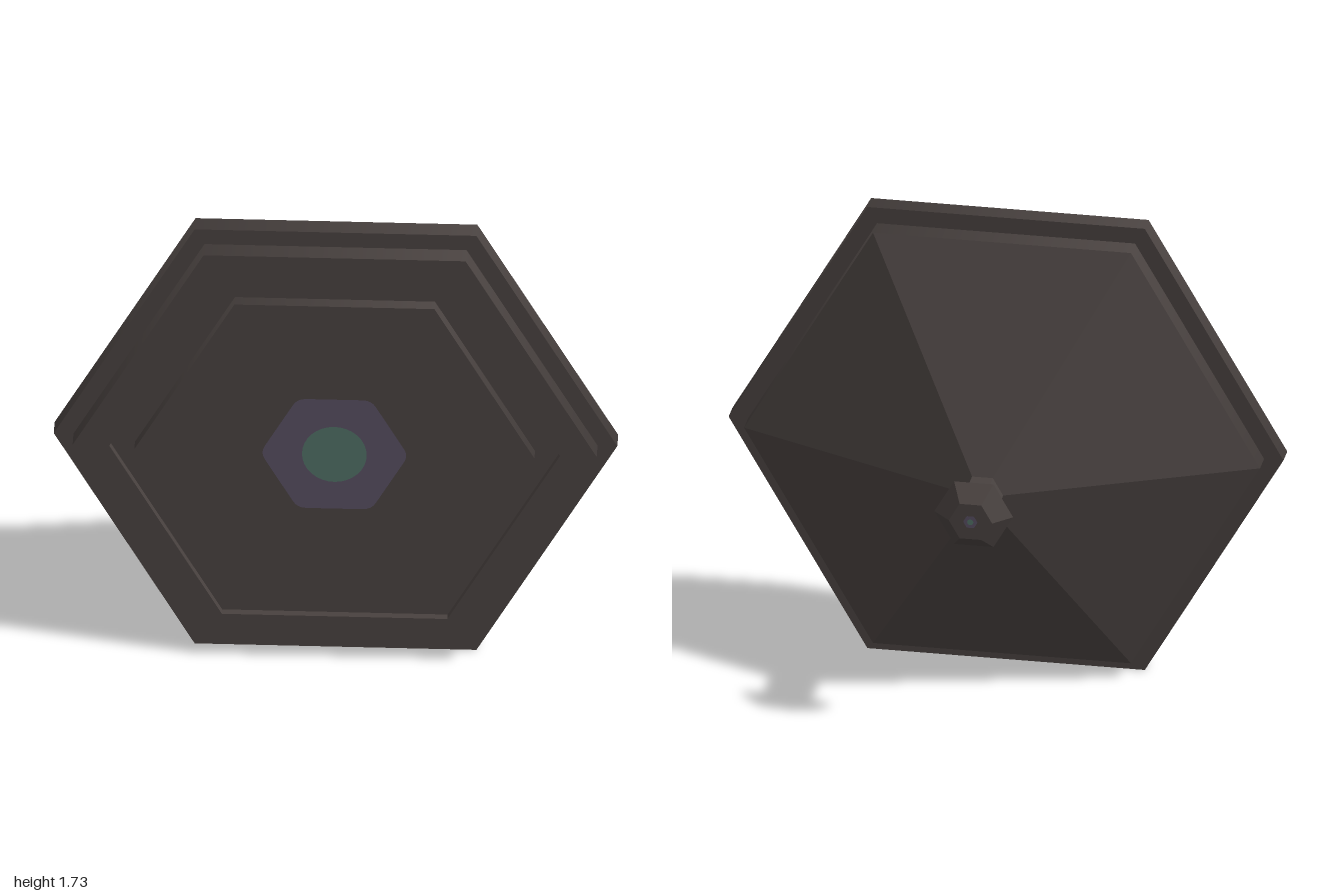
import * as THREE from 'three';
import { mergeGeometries } from 'three/addons/utils/BufferGeometryUtils.js';

const CENTRE_Y = 0.866;

const material = (name, color) => {
  const m = new THREE.MeshStandardMaterial({ color });
  m.name = name;
  return m;
};

// Hexagonal band between two [radius, z] points; h = 0 gives a flat ring, h < 0 an inward wall
function band([r0, z0], [r1, z1], smooth) {
  let g = new THREE.CylinderGeometry(r1, r0, z1 - z0, 6, 1, true, Math.PI / 2);
  g.rotateX(Math.PI / 2).translate(0, 0, (z0 + z1) / 2);
  g = g.toNonIndexed();
  if (!smooth) g.computeVertexNormals();
  return g;
}

// Hexagonal solid from a profile that runs from the back to the front
function hexSolid(name, profile, mat, smoothWalls = false) {
  const bands = [];
  for (let i = 0; i < profile.length - 1; i++) {
    const [a, b] = [profile[i], profile[i + 1]];
    bands.push(band(a, b, smoothWalls && a[0] === b[0] && b[1] > a[1]));
  }
  const mesh = new THREE.Mesh(mergeGeometries(bands), mat);
  mesh.name = name;
  return mesh;
}

// Hexagon with softly rounded corners
function roundedHexagon(r, cut = 0.12) {
  const corner = (i) => new THREE.Vector2(Math.cos(i * Math.PI / 3), Math.sin(i * Math.PI / 3)).multiplyScalar(r);
  const shape = new THREE.Shape();
  for (let i = 0; i < 6; i++) {
    const c = corner(i);
    const a = c.clone().lerp(corner(i - 1), cut);
    const b = c.clone().lerp(corner(i + 1), cut);
    if (i === 0) shape.moveTo(a.x, a.y);
    else shape.lineTo(a.x, a.y);
    shape.quadraticCurveTo(c.x, c.y, b.x, b.y);
  }
  shape.closePath();
  return new THREE.ShapeGeometry(shape, 4);
}

export function createModel() {
  const body = material('dark grey metal', 0x48413f);
  const purple = material('muted purple', 0x564d60);
  const green = material('muted green', 0x4f6e64);

  const model = new THREE.Group();
  model.name = 'hexagonalDish';
  const dish = new THREE.Group();
  dish.name = 'dish';
  dish.position.y = CENTRE_Y;
  model.add(dish);

  // Knob and stem at the back
  dish.add(hexSolid('knob', [[0, -0.435], [0.078, -0.435], [0.142, -0.37], [0.08, -0.345], [0, -0.345]], body));
  dish.add(hexSolid('stem', [[0.075, -0.345], [0.075, -0.2]], body));

  // Pyramid shaped back
  dish.add(hexSolid('backCone', [[0.075, -0.2], [0.93, 0.185]], body));

  // Rim, grooved front and raised face
  dish.add(hexSolid('rimAndFace', [
    [0.93, 0.185], [0.93, 0.415], [0.8, 0.415], [0.8, 0.385],
    [0.71, 0.385], [0.71, 0.435], [0, 0.435],
  ], body, true));

  // Flange around the rim
  dish.add(hexSolid('flange', [[0.92, 0.265], [1, 0.265], [1, 0.34], [0.92, 0.34]], body, true));

  // Painted centre on the face, repeated small on the knob
  const addEmblem = (name, hexR, discR, z, facesBack) => {
    const g = new THREE.Group();
    g.name = name;
    const hex = new THREE.Mesh(roundedHexagon(hexR), purple);
    hex.name = name + 'Hexagon';
    const disc = new THREE.Mesh(new THREE.CircleGeometry(discR, 32), green);
    disc.name = name + 'Disc';
    disc.position.z = 0.002;
    g.add(hex, disc);
    g.position.z = z;
    if (facesBack) g.rotation.y = Math.PI;
    dish.add(g);
  };
  addEmblem('faceCentre', 0.263, 0.115, 0.437, false);
  addEmblem('knobCentre', 0.026, 0.011, -0.437, true);

  return model;
}
